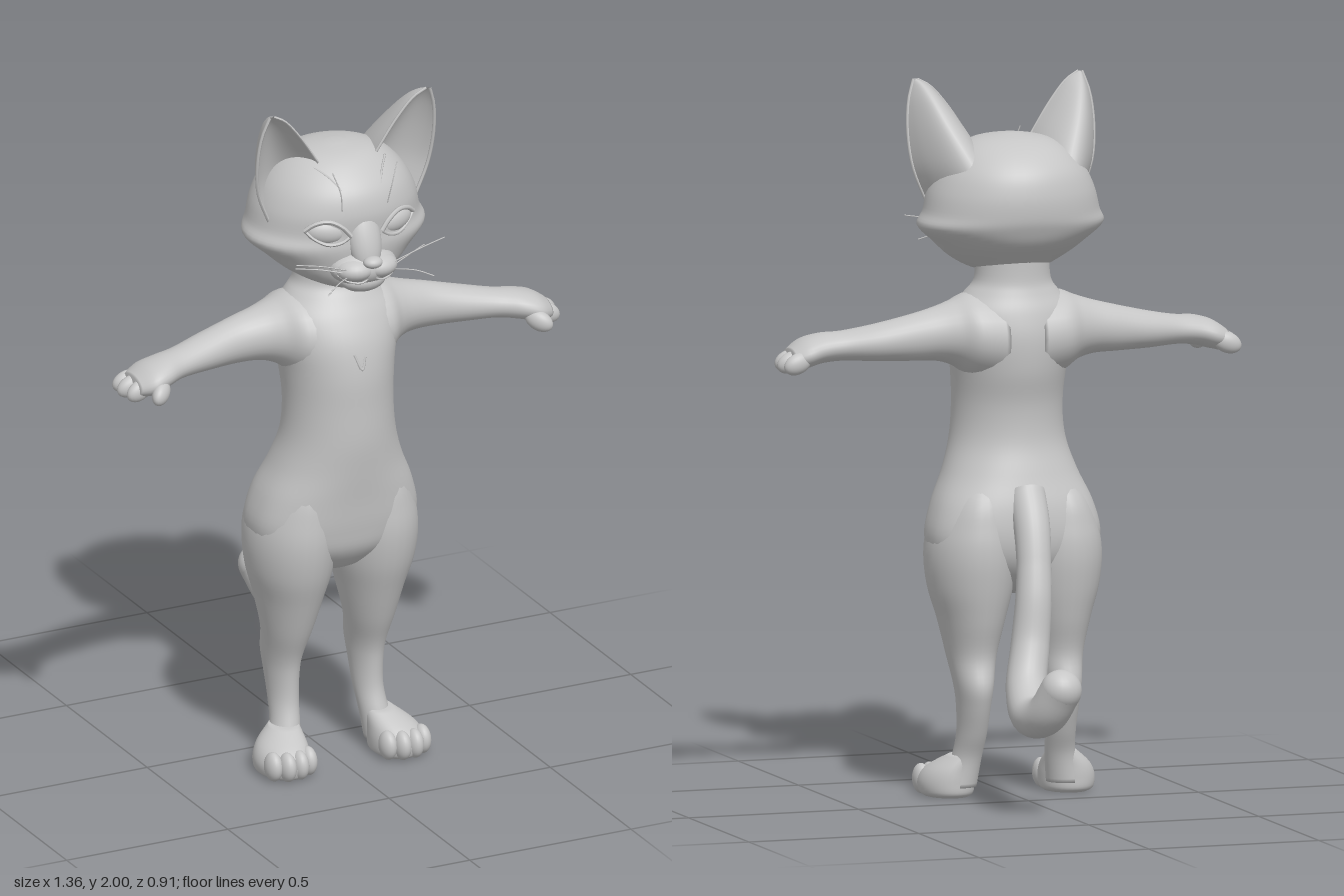
import * as THREE from 'three';
import { mergeVertices } from 'three/addons/utils/BufferGeometryUtils.js';

const fur = new THREE.MeshStandardMaterial({ color: 0xc6c6c6 });
fur.name = 'greyFur';

// Smooth surface from a rule fn(u, v) -> [x, y, z]
function grid(fn, nu, nv) {
  const pos = [], idx = [];
  for (let j = 0; j <= nv; j++)
    for (let i = 0; i <= nu; i++) pos.push(...fn(i / nu, j / nv));
  for (let j = 0; j < nv; j++)
    for (let i = 0; i < nu; i++) {
      const a = j * (nu + 1) + i, b = a + 1, c = a + nu + 1, d = c + 1;
      idx.push(a, c, b, b, c, d);
    }
  let g = new THREE.BufferGeometry();
  g.setAttribute('position', new THREE.Float32BufferAttribute(pos, 3));
  g.setIndex(idx);
  g = mergeVertices(g, 1e-5);
  g.computeVertexNormals();
  return g;
}

// Catmull-Rom blend through rows of numbers
function sample(rows, v) {
  const n = rows.length - 1, f = Math.min(v * n, n - 1e-9), k = Math.floor(f), t = f - k;
  const [p, q, r, s] = [-1, 0, 1, 2].map(o => rows[Math.min(n, Math.max(0, k + o))]);
  return q.map((_, i) => 0.5 * (2 * q[i] + (r[i] - p[i]) * t
    + (2 * p[i] - 5 * q[i] + 4 * r[i] - s[i]) * t * t
    + (3 * q[i] - p[i] - 3 * r[i] + s[i]) * t * t * t));
}

// Closed oval loft. Rows: [height, x0, x1, z0, z1, roundness], or for axis 'x': [x, z0, z1, y0, y1]
function loft(rows, axis = 'y', nu = 32) {
  const mid = r => [r[0], (r[1] + r[2]) / 2, (r[1] + r[2]) / 2, (r[3] + r[4]) / 2, (r[3] + r[4]) / 2];
  const steps = (rows.length - 1) * 5;
  const bend = (c, e) => Math.sign(c) * Math.abs(c) ** e;
  return grid((u, v) => {
    const j = Math.round(v * (steps + 2));
    const r = j === 0 ? mid(rows[0]) : j === steps + 2 ? mid(rows[rows.length - 1])
      : sample(rows, (j - 1) / steps);
    const a = u * Math.PI * 2, e = r[5] ?? 1;
    const p = (r[1] + r[2]) / 2 + bend(Math.cos(a), e) * (r[2] - r[1]) / 2;
    const q = (r[3] + r[4]) / 2 + bend(Math.sin(a), e) * (r[4] - r[3]) / 2;
    return axis === 'y' ? [p, r[0], q] : [r[0], q, p];
  }, nu, steps + 2);
}

function ellipsoid(c, r, rot = [0, 0, 0]) {
  const g = new THREE.SphereGeometry(1, 24, 16).scale(...r);
  return g.applyMatrix4(new THREE.Matrix4().makeRotationFromEuler(new THREE.Euler(...rot))).translate(...c);
}

function thread(points, r) {
  const curve = new THREE.CatmullRomCurve3(points.map(p => new THREE.Vector3(...p)));
  return new THREE.TubeGeometry(curve, 14, r, 6);
}

function mirrored(geo) {
  const g = geo.clone().scale(-1, 1, 1), ix = g.index;
  for (let i = 0; i < ix.count; i += 3) {
    const a = ix.getX(i);
    ix.setX(i, ix.getX(i + 2));
    ix.setX(i + 2, a);
  }
  g.computeVertexNormals();
  return g;
}

const symmetric = rows => rows.map(([y, w, z0, z1, e = 1]) => [y, -w, w, z0, z1, e]);
const faceZ = x => 0.155 + 0.207 * Math.sqrt(1 - (x / 0.255) ** 2);

export function createModel() {
  const model = new THREE.Group();
  model.name = 'standingCat';
  const add = (name, g) => {
    const m = new THREE.Mesh(g, fur);
    m.name = name;
    model.add(m);
  };
  const pair = (name, g) => {
    add(name + 'Left', g);
    add(name + 'Right', mirrored(g));
  };

  // Torso and neck
  add('torso', loft(symmetric([
    [0.57, 0.03, 0.09, 0.17], [0.60, 0.12, 0.04, 0.23], [0.66, 0.22, -0.01, 0.282, 0.88], [0.73, 0.247, -0.03, 0.3, 0.82],
    [0.82, 0.228, -0.025, 0.312, 0.85], [0.91, 0.19, 0.0, 0.325, 0.95], [1.0, 0.163, 0.025, 0.335],
    [1.1, 0.155, 0.025, 0.337], [1.2, 0.162, 0.003, 0.337], [1.29, 0.178, -0.003, 0.322],
    [1.36, 0.175, 0.01, 0.29], [1.41, 0.135, 0.03, 0.255], [1.45, 0.108, 0.04, 0.232], [1.53, 0.105, 0.04, 0.24],
  ]), 'y', 48));

  // Head
  add('head', loft(symmetric([
    [1.462, 0.03, 0.17, 0.30], [1.475, 0.10, 0.08, 0.33], [1.51, 0.165, 0.03, 0.345], [1.555, 0.218, -0.025, 0.355],
    [1.60, 0.265, -0.052, 0.36], [1.64, 0.25, -0.064, 0.358], [1.70, 0.235, -0.064, 0.362],
    [1.76, 0.205, -0.045, 0.345], [1.81, 0.158, 0.005, 0.30], [1.84, 0.1, 0.07, 0.25], [1.853, 0.02, 0.14, 0.18],
  ]), 'y', 48));

  // Muzzle, nose and mouth
  add('noseBridge', ellipsoid([0, 1.63, 0.342], [0.05, 0.105, 0.04], [-0.35, 0, 0]));
  add('nose', ellipsoid([0, 1.573, 0.4], [0.028, 0.017, 0.024]));
  add('muzzleBase', ellipsoid([0, 1.543, 0.335], [0.1, 0.052, 0.068]));
  add('chin', ellipsoid([0, 1.503, 0.335], [0.068, 0.036, 0.052]));
  pair('muzzle', ellipsoid([0.037, 1.545, 0.358], [0.056, 0.034, 0.051], [0, 0.3, 0]));
  pair('mouthCorner', thread([[0, 1.53, 0.394], [0.03, 1.514, 0.393], [0.065, 1.519, 0.381], [0.09, 1.534, 0.36]], 0.003));

  // Eyes with lids, and brow creases
  pair('eye', ellipsoid([0.108, 1.655, 0.322], [0.056, 0.034, 0.026], [0, 0.3, 0.12]));
  const lid = (h, r) => thread([-1, -0.6, 0, 0.6, 1].map(t => {
    const x = 0.108 + t * 0.06;
    return [x, 1.655 + t * 0.01 + h * (1 - t * t), faceZ(x) + 0.002];
  }), r);
  pair('upperLid', lid(0.037, 0.007));
  pair('lowerLid', lid(-0.032, 0.005));
  pair('browCrease', thread([[0.06, 1.77, 0.326], [0.08, 1.80, 0.296], [0.11, 1.825, 0.255]], 0.003));

  // Ears: convex back sheet and hollow front sheet sharing one rim
  const inner = [[0.06, 1.74, 0.24], [0.09, 1.83, 0.24], [0.15, 1.92, 0.246], [0.2, 1.978, 0.252], [0.237, 2.0, 0.257]];
  const outer = [[0.225, 1.66, 0.21], [0.262, 1.755, 0.215], [0.273, 1.85, 0.23], [0.266, 1.94, 0.245], [0.247, 2.0, 0.257]];
  const earSheet = (depth, flip) => grid((u, v) => {
    const s = flip ? 1 - u : u, a = sample(inner, v), b = sample(outer, v);
    const bulge = depth * (1 - v) ** 0.9 * Math.sin(Math.PI * s) ** 0.8;
    return [a[0] + (b[0] - a[0]) * s - bulge * 0.12, a[1] + (b[1] - a[1]) * s, a[2] + (b[2] - a[2]) * s - bulge];
  }, 18, 20);
  pair('earBack', earSheet(0.23, false));
  pair('earHollow', earSheet(0.12, true));
  pair('earOuterRim', thread(outer, 0.005));
  pair('earInnerRim', thread(inner.slice(1), 0.004));

  // Whiskers
  [[0.23, 1.6, 0.385], [0.2, 1.56, 0.32], [0.165, 1.52, 0.45]].forEach((tip, i) => {
    const y = 1.555 - i * 0.01;
    pair('whisker' + (i + 1), thread([[0.07, y, 0.385], [(0.08 + tip[0]) / 2, (y + tip[1]) / 2 + 0.008, tip[2] * 0.5 + 0.2], tip], 0.0018));
  });
  pair('browWhisker', thread([[0.07, 1.72, 0.35], [0.08, 1.78, 0.36], [0.1, 1.84, 0.35]], 0.0018));

  // Chest tuft
  add('chestTuft', thread([[-0.02, 1.27, 0.324], [0, 1.225, 0.335], [0.012, 1.26, 0.327]], 0.004));

  // Arms and paws
  pair('arm', loft([
    [0.05, 0.0, 0.29, 1.16, 1.415], [0.13, 0.005, 0.275, 1.18, 1.412], [0.18, 0.035, 0.232, 1.212, 1.394],
    [0.23, 0.055, 0.205, 1.227, 1.378], [0.30, 0.068, 0.192, 1.23, 1.36], [0.40, 0.085, 0.205, 1.232, 1.336],
    [0.49, 0.11, 0.225, 1.235, 1.318], [0.55, 0.115, 0.255, 1.228, 1.312], [0.60, 0.11, 0.266, 1.215, 1.298],
    [0.64, 0.125, 0.24, 1.215, 1.272],
  ], 'x', 28));
  [[0.632, 0.133, -0.1], [0.638, 0.172, 0], [0.63, 0.213, 0.15], [0.586, 0.259, 0.75]].forEach(([x, z, turn], i) =>
    pair('finger' + (i + 1), ellipsoid([x, 1.236, z], [0.042, 0.029, 0.023], [0, -turn, -0.4])));

  // Legs
  pair('leg', loft([
    [0.95, 0.07, 0.12, 0.1, 0.24], [0.85, 0.04, 0.195, 0.0, 0.285], [0.76, 0.012, 0.236, -0.027, 0.297],
    [0.68, 0.003, 0.25, -0.032, 0.297],
    [0.59, 0.012, 0.242, -0.02, 0.28], [0.5, 0.035, 0.217, 0.0, 0.248], [0.4, 0.06, 0.195, 0.025, 0.21],
    [0.32, 0.077, 0.182, 0.008, 0.175], [0.26, 0.085, 0.175, 0.02, 0.162], [0.18, 0.09, 0.172, 0.05, 0.16],
    [0.11, 0.096, 0.18, 0.08, 0.178], [0.03, 0.105, 0.21, 0.09, 0.2],
  ].reverse(), 'y', 28));

  // Feet and toes
  pair('foot', loft([
    [0.0, 0.115, 0.235, 0.11, 0.265], [0.012, 0.103, 0.25, 0.093, 0.28], [0.045, 0.1, 0.253, 0.09, 0.285],
    [0.08, 0.102, 0.235, 0.09, 0.26], [0.12, 0.105, 0.185, 0.09, 0.185],
  ]));
  [[0.124, 0.245], [0.159, 0.264], [0.197, 0.264], [0.23, 0.243]].forEach(([x, z], i) =>
    pair('toe' + (i + 1), ellipsoid([x, 0.042, z], [0.024, 0.042, 0.036])));

  // Tail: rings along a curve, rounded at the tip
  const path = new THREE.CatmullRomCurve3([
    [0, 0.86, 0.02], [0.005, 0.76, -0.045], [0.02, 0.6, -0.1], [0.04, 0.45, -0.125], [0.07, 0.34, -0.18],
    [0.085, 0.278, -0.27], [0.07, 0.295, -0.35], [0.045, 0.365, -0.397],
  ].map(p => new THREE.Vector3(...p)));
  const n = 60, frames = path.computeFrenetFrames(n);
  add('tail', grid((u, v) => {
    const k = Math.round(v * n), a = u * Math.PI * 2;
    const r = 0.042 + 0.016 * Math.min(1, v * 1.5) + 0.012 * Math.max(0, 1 - v * 4);
    return path.getPointAt(v)
      .addScaledVector(frames.normals[k], Math.cos(a) * r)
      .addScaledVector(frames.binormals[k], -Math.sin(a) * r).toArray();
  }, 24, n));
  add('tailTip', ellipsoid([0.045, 0.365, -0.397], [0.058, 0.058, 0.058]));

  return model;
}
